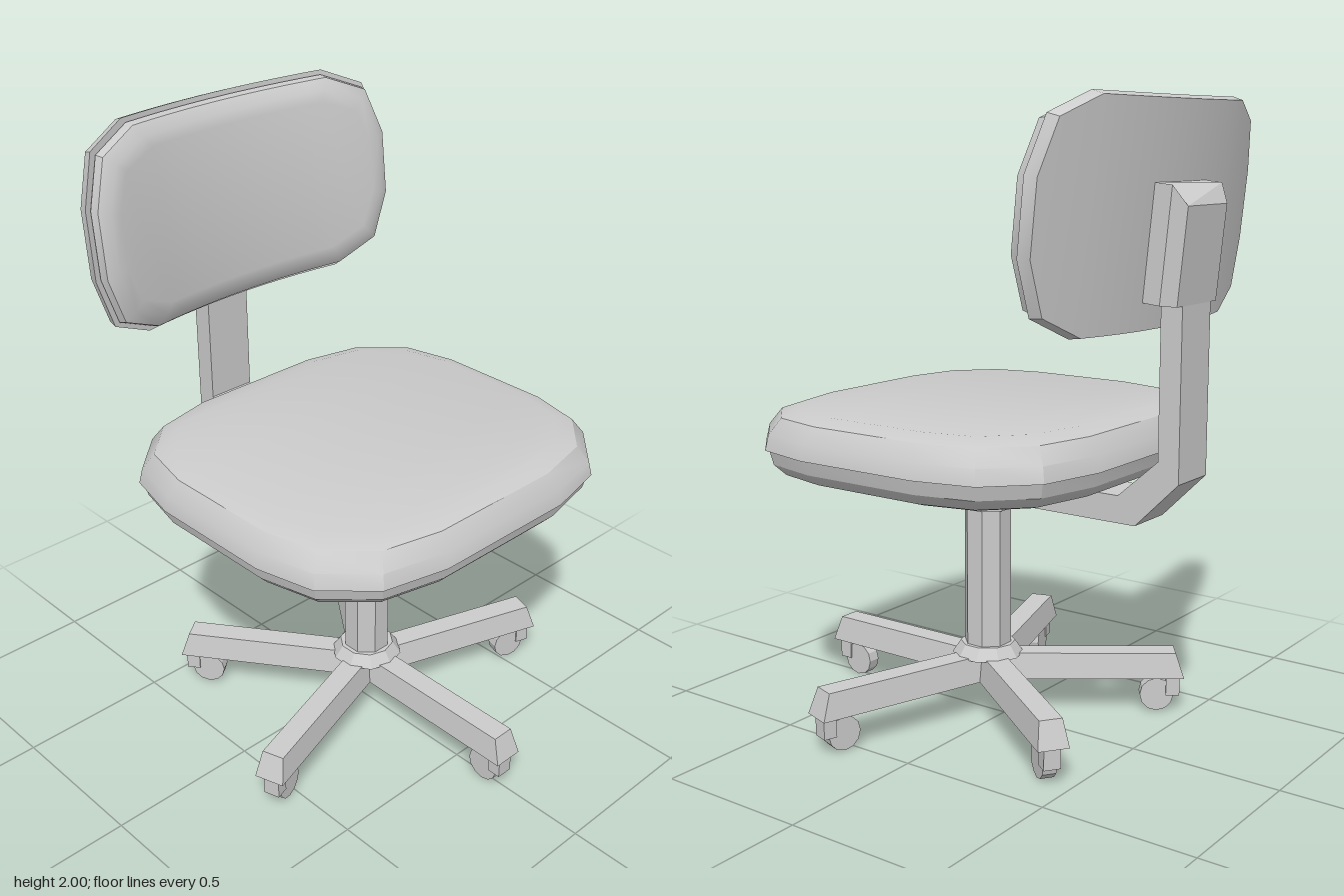
import * as THREE from 'three';
import { toCreasedNormals } from 'three/addons/utils/BufferGeometryUtils.js';

const mat = new THREE.MeshStandardMaterial({ color: 0xcccccc });
const flat = new THREE.MeshStandardMaterial({ color: 0xcccccc, flatShading: true });
const CX = 0.067; // centre of column and seat along x

function add(parent, name, geometry, material = flat) {
  const mesh = new THREE.Mesh(geometry, material);
  mesh.name = name;
  parent.add(mesh);
  return mesh;
}

// Padded slab: a rounded outline given as columns [u, half height],
// stacked in layers [w, inset]; place() maps u, v, w into space.
function loft(cols, layers, place) {
  const n = cols.length, ring = 2 * n;
  const U = cols[n - 1][0], V = Math.max(...cols.map(c => c[1]));
  const pos = [], idx = [];
  for (const [w, inset] of layers) {
    const su = 1 - inset / U, sv = 1 - inset / V;
    for (let i = 0; i < ring; i++) {
      const [u, h] = i < n ? cols[i] : cols[ring - 1 - i];
      pos.push(...place(u * su, (i < n ? h : -h) * sv, w));
    }
  }
  for (let l = 0; l < layers.length - 1; l++) {
    for (let i = 0; i < ring; i++) {
      const j = (i + 1) % ring, a = l * ring, b = a + ring;
      idx.push(a + i, b + j, a + j, a + i, b + i, b + j);
    }
  }
  const top = (layers.length - 1) * ring;
  for (let i = 0; i < n - 1; i++) {
    const t0 = i, t1 = i + 1, b0 = ring - 1 - i, b1 = ring - 2 - i;
    idx.push(top + t0, top + b0, top + b1, top + t0, top + b1, top + t1);
    idx.push(t0, b1, b0, t0, t1, b1);
  }
  const g = new THREE.BufferGeometry();
  g.setAttribute('position', new THREE.Float32BufferAttribute(pos, 3));
  g.setIndex(idx);
  return toCreasedNormals(g, 0.5);
}

// Complete an outline from its positive half
const mirrored = half => [...half.map(([u, h]) => [-u, h]).reverse(), ...half];

function extrude(points, depth) {
  const shape = new THREE.Shape(points.map(p => new THREE.Vector2(...p)));
  return new THREE.ExtrudeGeometry(shape, { depth, bevelEnabled: false });
}

function prism(rTop, rBottom, y0, y1, sides) {
  return new THREE.CylinderGeometry(rTop, rBottom, y1 - y0, sides)
    .rotateY(Math.PI / sides).translate(CX, (y0 + y1) / 2, 0);
}

export function createModel() {
  const chair = new THREE.Group();
  chair.name = 'officeChair';

  // Seat cushion with a seam around its edge
  const seatCols = mirrored([[0.213, 0.645], [0.405, 0.6], [0.54, 0.46], [0.588, 0.25]]);
  const seatLayers = [[0.84, 0.1], [0.855, 0.055], [0.89, 0.022], [0.933, 0.012],
    [0.936, 0], [0.985, 0.01], [1.035, 0.045], [1.055, 0.1]];
  add(chair, 'seat', loft(seatCols, seatLayers, (u, v, w) => [u + CX, w, -v]), mat);

  // Backrest: curved plate and pad, leaning back
  const back = new THREE.Group();
  back.name = 'backrest';
  back.position.set(-0.62, 1.663, 0);
  back.rotation.z = 0.1;
  chair.add(back);
  const backCols = mirrored([[0.05, 0.335], [0.15, 0.335], [0.25, 0.335], [0.33, 0.335],
    [0.4, 0.335], [0.545, 0.27], [0.6, 0.11]]);
  const bend = (u, v, w) => [w + 0.27 * u * u, v, -u];
  add(back, 'backPlate', loft(backCols, [[0, 0.008], [0.035, 0]], bend), mat);
  add(back, 'backPad', loft(backCols,
    [[0.03, 0.025], [0.045, 0.014], [0.075, 0.02], [0.1, 0.055], [0.107, 0.09]], bend), mat);

  // Chamfered housing behind the backrest
  const housing = extrude([[0.01, 0.145], [-0.05, 0.145], [-0.09, 0.115],
    [-0.09, -0.115], [-0.05, -0.145], [0.01, -0.145]], 0.34)
    .rotateX(-Math.PI / 2).translate(0, -0.245, 0);
  const hp = housing.attributes.position;
  for (let i = 0; i < hp.count; i++) {
    if (hp.getX(i) < -0.06 && hp.getY(i) > 0) hp.setY(i, hp.getY(i) - 0.055);
  }
  add(back, 'backHousing', housing);

  // Bent support bar from column to backrest
  add(chair, 'supportBar', extrude([[-0.685, 1.5], [-0.685, 0.89], [-0.54, 0.745],
    [0.05, 0.745], [0.05, 0.83], [-0.48, 0.83], [-0.615, 0.95], [-0.615, 1.5]], 0.166)
    .translate(0, 0, -0.083));

  // Column
  add(chair, 'collar', prism(0.09, 0.09, 0.7, 0.842, 8));
  add(chair, 'column', prism(0.078, 0.078, 0.2, 0.71, 8));
  add(chair, 'columnFoot', prism(0.09, 0.118, 0.2, 0.24, 10));

  // Five tapered legs, each with a caster
  for (let i = 0; i < 5; i++) {
    const arm = new THREE.Group();
    arm.name = 'baseArm' + (i + 1);
    arm.position.x = CX;
    arm.rotation.y = i * Math.PI * 2 / 5;
    chair.add(arm);

    const leg = new THREE.BoxGeometry(0.65, 0.085, 0.1).translate(0.325, 0.1625, 0);
    const p = leg.attributes.position;
    for (let k = 0; k < p.count; k++) {
      if (p.getY(k) < 0.16) continue;
      p.setZ(k, p.getZ(k) * 0.74);
      if (p.getX(k) > 0.1) p.setX(k, 0.622);
    }
    add(arm, 'leg', leg);
    add(arm, 'casterStem', new THREE.BoxGeometry(0.045, 0.07, 0.054).translate(0.615, 0.088, 0));
    add(arm, 'casterWheel', new THREE.CylinderGeometry(0.056, 0.056, 0.044, 12)
      .rotateX(Math.PI / 2).translate(0.562, 0.056, 0));
  }
  return chair;
}
